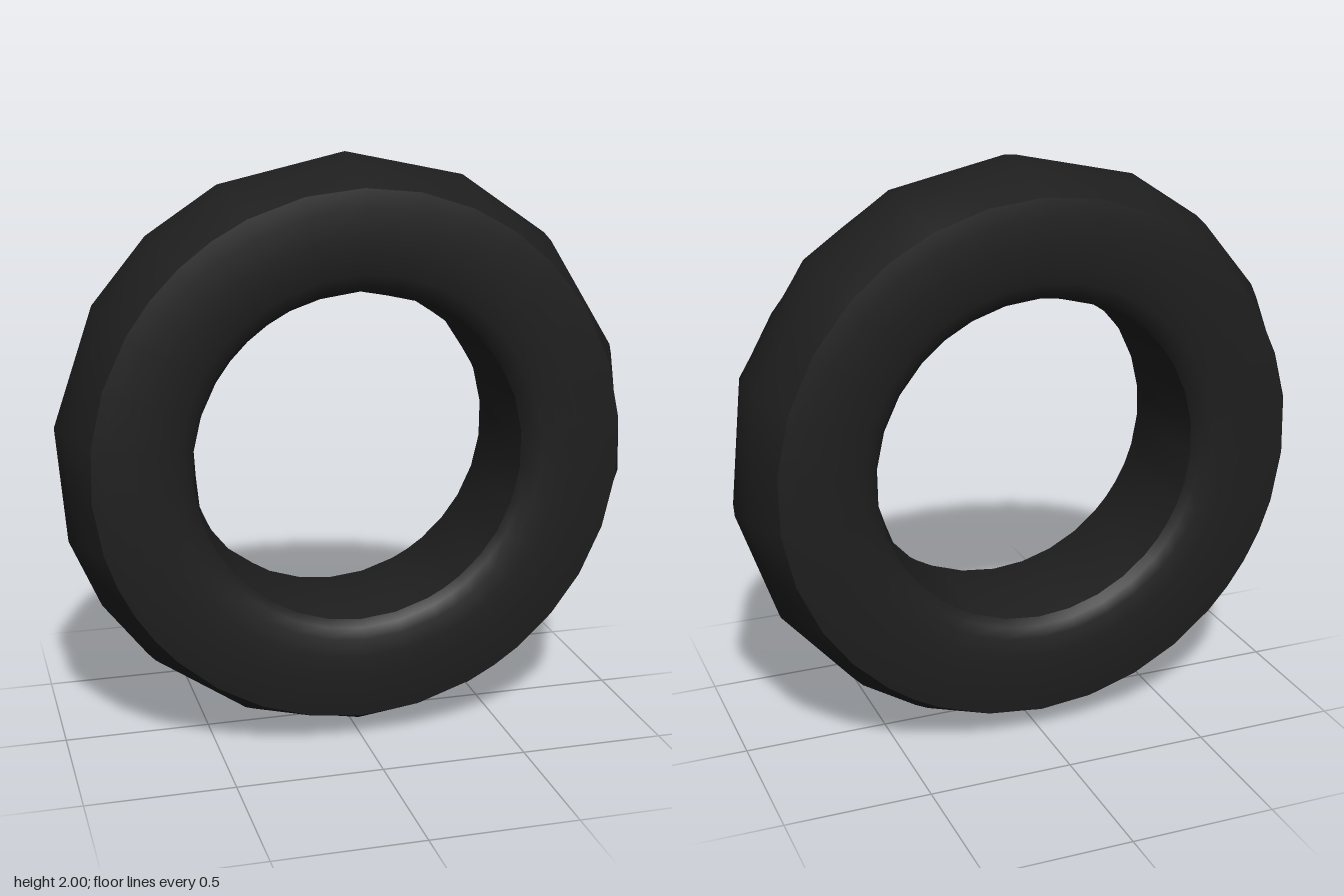
import * as THREE from 'three';

// Angles (degrees) of the irregular tread corners, counter-clockwise from +x
const CORNERS = [-7, 18.8, 44.6, 65.7, 90, 115, 132, 149, 173, 196, 211, 225, 247, 270, 295, 308, 329];

// Each corner is followed by the midpoint of its chord
const SPOKES = CORNERS.flatMap((a, i) => {
  const next = i + 1 < CORNERS.length ? CORNERS[i + 1] : CORNERS[0] + 360;
  const half = (next - a) / 2;
  return [
    { angle: THREE.MathUtils.degToRad(a), chord: 1 },
    { angle: THREE.MathUtils.degToRad(a + half), chord: Math.cos(THREE.MathUtils.degToRad(half)) },
  ];
});

// Sweeps a profile of [z, radius, facet] round the axle; facet 1 = straight chords, 0 = round
function makeBand(name, profile, material) {
  const n = SPOKES.length;
  const positions = [];
  const indices = [];
  profile.forEach(([z, radius, facet], j) => {
    SPOKES.forEach(({ angle, chord }, i) => {
      const r = radius * (1 + (chord - 1) * facet);
      positions.push(r * Math.cos(angle), 1 + r * Math.sin(angle), z);
      if (j + 1 < profile.length) {
        const a = j * n + i;
        const b = j * n + ((i + 1) % n);
        indices.push(a, a + n, b, b, a + n, b + n);
      }
    });
  });
  const geometry = new THREE.BufferGeometry();
  geometry.setAttribute('position', new THREE.Float32BufferAttribute(positions, 3));
  geometry.setIndex(indices);
  geometry.computeVertexNormals();
  const mesh = new THREE.Mesh(geometry, material);
  mesh.name = name;
  return mesh;
}

export function createModel() {
  const rubber = new THREE.MeshStandardMaterial({ color: 0x1e1e1e });
  rubber.name = 'black rubber';

  const tyre = new THREE.Group();
  tyre.name = 'tyre';

  // Crowned tread, front to back
  tyre.add(makeBand('tread', [
    [0.255, 0.91, 0], [0.19, 0.947, 0.8], [0.1, 0.982, 1], [0, 1, 1],
    [-0.1, 0.982, 1], [-0.19, 0.947, 0.8], [-0.255, 0.91, 0],
  ], rubber));

  // Side walls, rolling inward towards the bore
  const wall = [
    [0.215, 0.57, 0], [0.242, 0.592, 0], [0.258, 0.63, 0], [0.267, 0.69, 0],
    [0.27, 0.76, 0], [0.266, 0.85, 0], [0.255, 0.91, 0],
  ];
  tyre.add(makeBand('frontSidewall', wall, rubber));
  tyre.add(makeBand('backSidewall', wall.map(([z, r, f]) => [-z, r, f]).reverse(), rubber));

  // Inner bore, back to front
  tyre.add(makeBand('bore', [
    [-0.215, 0.57, 0], [-0.12, 0.555, 0.8], [0, 0.55, 0.8], [0.12, 0.555, 0.8], [0.215, 0.57, 0],
  ], rubber));

  return tyre;
}
